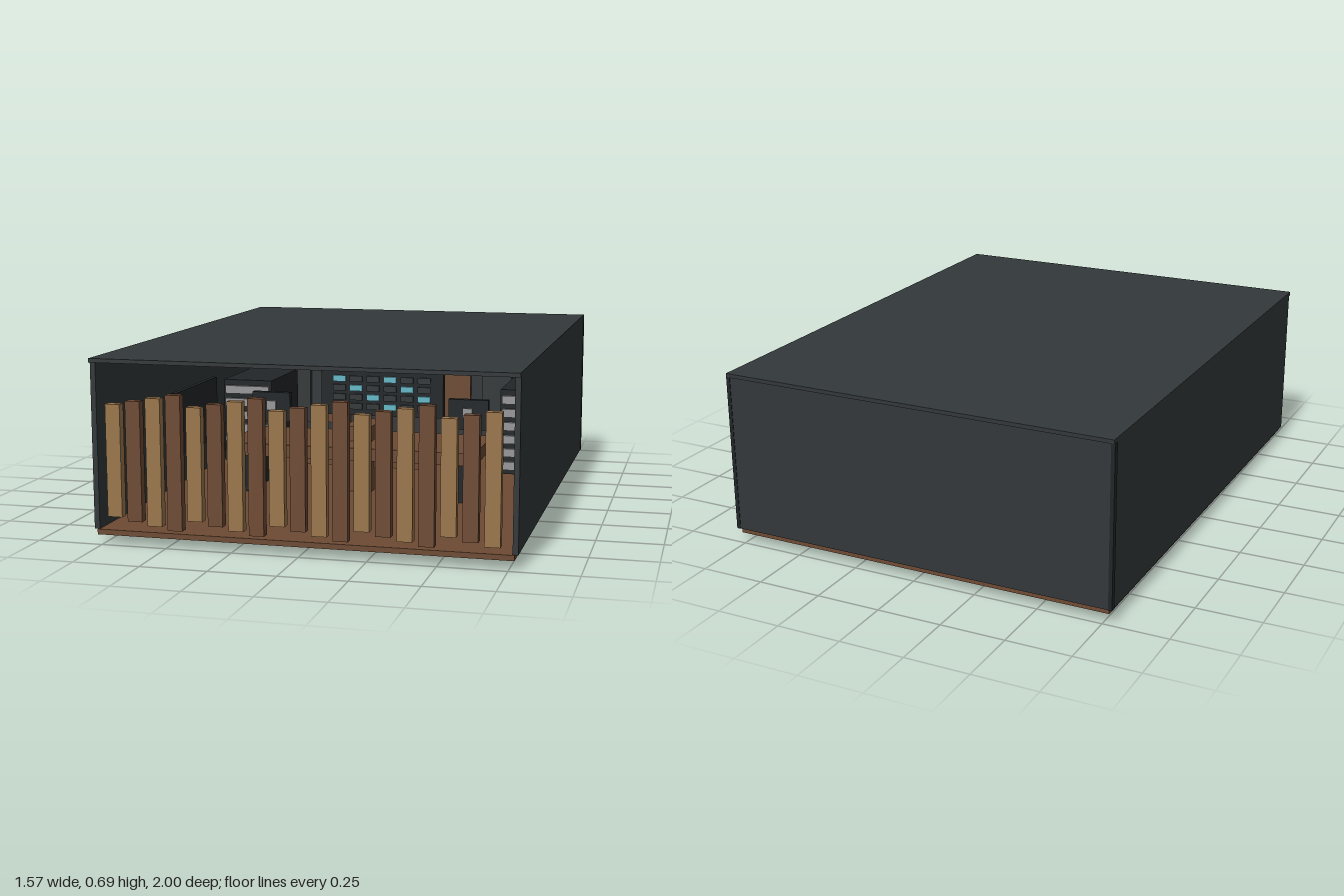
import * as THREE from 'three';

export function createModel() {
  const model = new THREE.Group();
  const mat = (c) => new THREE.MeshStandardMaterial({ color: c });
  const dark = mat(0x33383a), black = mat(0x222628), brown = mat(0x6e4b34),
    tan = mat(0x9c774d), grey = mat(0x6a6868), pale = mat(0x98989a), cyan = mat(0x66b8c8);

  // Box given by its min and max corners
  function box(name, m, x0, x1, y0, y1, z0, z1, parent = model) {
    const mesh = new THREE.Mesh(new THREE.BoxGeometry(x1 - x0, y1 - y0, z1 - z0), m);
    mesh.position.set((x0 + x1) / 2, (y0 + y1) / 2, (z0 + z1) / 2);
    mesh.name = name;
    parent.add(mesh);
    return mesh;
  }
  // Same box on both sides
  function pair(name, m, x0, x1, ...rest) {
    box(name + 'Left', m, x0, x1, ...rest);
    box(name + 'Right', m, -x1, -x0, ...rest);
  }

  // Shell, open at the front
  box('floor', brown, -0.77, 0.77, 0.035, 0.055, -0.985, 0.99);
  box('roof', dark, -0.783, 0.783, 0.672, 0.687, -1, 1);
  pair('sideWall', dark, 0.763, 0.783, 0.055, 0.672, -0.98, 0.985);
  box('backWall', dark, -0.783, 0.783, 0.055, 0.672, -0.995, -0.97);
  pair('cornerPost', black, 0.77, 0.785, 0.055, 0.672, -0.997, -0.975);
  pair('foot', black, 0.495, 0.515, 0, 0.036, -0.12, 0.08);

  // Front slats, stepping in height every four
  const slats = new THREE.Group();
  slats.name = 'frontSlats';
  model.add(slats);
  const low = [0.107, 0.093, 0.08, 0.067], high = [0.523, 0.537, 0.55, 0.564];
  for (let i = 0; i < 19; i++) {
    const x = (i - 9) * 0.0772;
    box('slat', i % 2 ? brown : tan, x - 0.028, x + 0.028, low[i % 4], high[i % 4], 0.965, 1, slats);
  }

  // Alternating panels on the back wall
  [[-0.59, dark], [-0.395, brown], [-0.2, dark], [0.195, brown], [0.39, dark], [0.59, brown]].forEach(
    ([x, m]) => box('wallPanel', m, x - 0.07, x + 0.07, 0.14, 0.6, -0.97, -0.945));

  // Tall cabinets in the back corners
  pair('cornerCabinet', grey, 0.668, 0.762, 0.056, 0.64, -0.95, -0.75);

  // Equipment racks with rows of pale units
  for (const s of [-1, 1]) {
    const rack = new THREE.Group();
    rack.name = s < 0 ? 'rackRight' : 'rackLeft';
    rack.position.x = s * 0.62;
    model.add(rack);
    box('rackBody', black, -0.11, 0.11, 0.065, 0.43, -0.7, -0.3, rack);
    for (let r = 0; r < 6; r++) {
      box('rackUnit', pale, -0.1, 0.1, 0.085 + r * 0.057, 0.12 + r * 0.057, -0.3, -0.285, rack);
    }
  }
  pair('sideScreen', black, 0.728, 0.748, 0.19, 0.455, -0.2, 0.3);
  box('sideBoard', brown, 0.745, 0.763, 0.06, 0.47, 0.4, 0.8);

  // Central desk
  box('deskTop', brown, -0.51, 0.51, 0.215, 0.265, -0.1, 0.3);
  box('deskRail', brown, -0.28, 0.28, 0.15, 0.185, 0.05, 0.1);
  box('deskPedestal', brown, -0.055, 0.055, 0.056, 0.325, -0.05, 0.15);
  pair('deskLeg', black, 0.42, 0.46, 0.056, 0.215, -0.05, 0.25);

  // Screens behind the desk
  box('mainScreen', black, -0.27, 0.27, 0.3, 0.5, -0.3, -0.26);
  for (let r = 0; r < 4; r++) {
    for (let c = 0; c < 6; c++) {
      const x = (c - 2.5) * 0.075, y = 0.34 + r * 0.04;
      box('display', (r + c) % 3 ? dark : cyan, x - 0.028, x + 0.028, y - 0.013, y + 0.013, -0.26, -0.252);
    }
  }
  box('screenStand', black, -0.03, 0.03, 0.056, 0.3, -0.3, -0.26);
  pair('sideMonitor', black, 0.34, 0.505, 0.3, 0.425, -0.05, -0.02);
  pair('monitorDial', pale, 0.4, 0.44, 0.35, 0.39, -0.02, -0.01);
  pair('monitorStand', black, 0.41, 0.435, 0.265, 0.3, -0.05, -0.02);

  // Ceiling fittings
  box('ceilingBar', black, -0.145, 0.145, 0.628, 0.643, -0.1, 0.1);
  box('ceilingMount', black, -0.025, 0.025, 0.64, 0.672, -0.05, 0.05);
  pair('ceilingStrip', brown, 0.195, 0.315, 0.63, 0.643, -0.5, 0.5);
  pair('ceilingHanger', black, 0.245, 0.265, 0.643, 0.672, -0.02, 0.02);
  pair('ceilingLamp', black, 0.44, 0.485, 0.643, 0.672, -0.4, 0.4);
  return model;
}
